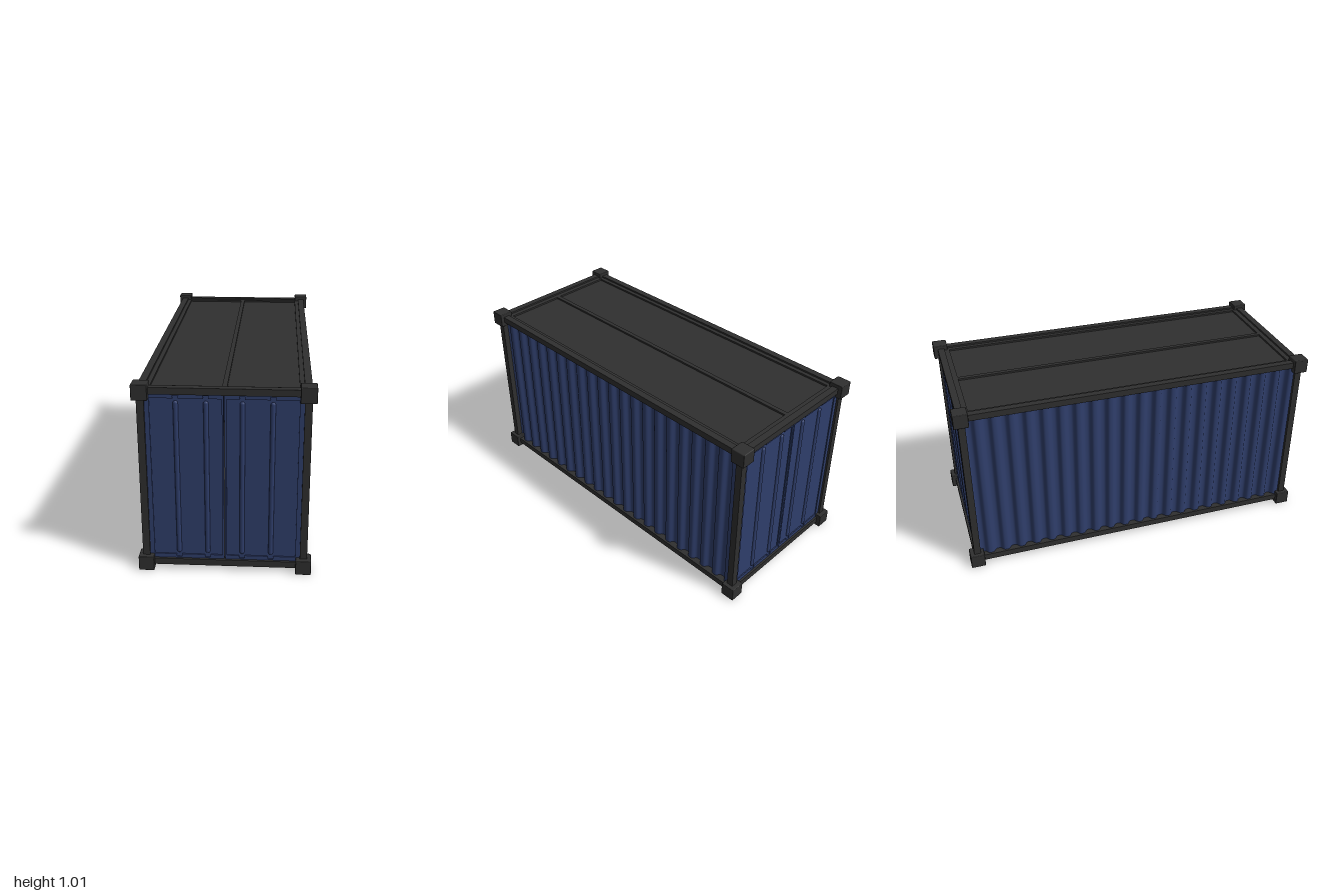
import * as THREE from 'three';
import { RoundedBoxGeometry } from 'three/addons/geometries/RoundedBoxGeometry.js';

export function createModel() {
  const model = new THREE.Group();
  model.name = 'shippingContainer';
  const steel = new THREE.MeshStandardMaterial({ color: 0x2f2f2f });
  steel.name = 'charcoalSteel';
  const blue = new THREE.MeshStandardMaterial({ color: 0x2f3e6b, side: THREE.DoubleSide });
  blue.name = 'navyPanel';

  const add = (parent, name, geometry, material, x = 0, y = 0, z = 0) => {
    const mesh = new THREE.Mesh(geometry, material);
    mesh.name = name;
    mesh.position.set(x, y, z);
    parent.add(mesh);
    return mesh;
  };
  // Box given by its lower and upper limits on each axis
  const block = (parent, name, material, x0, x1, y0, y1, z0, z1) =>
    add(parent, name, new THREE.BoxGeometry(x1 - x0, y1 - y0, z1 - z0), material,
      (x0 + x1) / 2, (y0 + y1) / 2, (z0 + z1) / 2);

  // Corner castings, posts and rails
  for (const sx of [-1, 1]) {
    for (const sz of [-1, 1]) {
      for (const y of [0.04, 0.975]) {
        add(model, 'cornerCasting', new RoundedBoxGeometry(0.08, 0.08, 0.08, 1, 0.004), steel,
          sx * 0.403, y, sz * 0.96);
      }
      add(model, 'cornerPost', new THREE.BoxGeometry(0.037, 0.93, 0.037), steel,
        sx * 0.4035, 0.51, sz * 0.9575);
    }
    for (const y of [0.0425, 0.978]) {
      add(model, 'sideRail', new THREE.BoxGeometry(0.037, 0.035, 1.9), steel, sx * 0.4035, y, 0);
    }
  }
  for (const sz of [-1, 1]) {
    for (const y of [0.0425, 0.978]) {
      add(model, 'endRail', new THREE.BoxGeometry(0.78, 0.035, 0.037), steel, 0, y, sz * 0.9575);
    }
  }

  // Roof and floor: recessed plate, raised border and centre seam
  const deck = (name, plate0, plate1, lip0, lip1) => {
    const group = new THREE.Group();
    group.name = name;
    model.add(group);
    block(group, name + 'Plate', steel, -0.386, 0.386, plate0, plate1, -0.94, 0.94);
    block(group, name + 'Seam', steel, -0.012, 0.012, lip0, lip1, -0.912, 0.912);
    for (const s of [-1, 1]) {
      add(group, name + 'SideLip', new THREE.BoxGeometry(0.025, lip1 - lip0, 1.88), steel,
        s * 0.374, (lip0 + lip1) / 2, 0);
      add(group, name + 'EndLip', new THREE.BoxGeometry(0.724, lip1 - lip0, 0.03), steel,
        0, (lip0 + lip1) / 2, s * 0.926);
    }
  };
  deck('roof', 0.966, 0.976, 0.976, 0.986);
  deck('floor', 0.044, 0.054, 0.034, 0.044);

  // Corrugated side walls with flattened, softly rounded ridges
  const waves = 21, length = 1.89;
  for (const side of [0, 1]) {
    const geometry = new THREE.PlaneGeometry(length, 0.92, waves * 16, 1);
    const p = geometry.attributes.position;
    for (let i = 0; i < p.count; i++) {
      const wave = Math.sin((p.getX(i) / length) * waves * Math.PI * 2);
      p.setZ(i, 0.014 * Math.tanh(1.6 * wave));
    }
    geometry.computeVertexNormals();
    const wall = new THREE.Group();
    wall.name = side ? 'rightWall' : 'leftWall';
    wall.rotation.y = side ? -Math.PI / 2 : Math.PI / 2;
    add(wall, 'corrugatedPanel', geometry, blue, 0, 0.51, 0.398);
    model.add(wall);
  }

  // Door leaf border, notched where the upright ribs meet it
  const bars = [0.088, 0.235];
  const borderShape = new THREE.Shape([
    [0.002, 0.058], [0.386, 0.058], [0.386, 0.961], [0.002, 0.961],
  ].map(([x, y]) => new THREE.Vector2(x, y)));
  const inner = [[0.011, 0.082]];
  for (const b of bars) {
    inner.push([b - 0.015, 0.082], [b - 0.012, 0.066], [b + 0.012, 0.066], [b + 0.015, 0.082]);
  }
  inner.push([0.362, 0.082], [0.362, 0.938]);
  for (const b of [...bars].reverse()) {
    inner.push([b + 0.012, 0.938], [b + 0.015, 0.953], [b - 0.015, 0.953], [b - 0.012, 0.938]);
  }
  inner.push([0.011, 0.938]);
  borderShape.holes.push(new THREE.Path(inner.map(([x, y]) => new THREE.Vector2(x, y))));
  const border = new THREE.ExtrudeGeometry(borderShape, { depth: 0.016, bevelEnabled: false });

  // Two leaves on each end with a narrow open gap between them
  for (const end of [0, 1]) {
    const doors = new THREE.Group();
    doors.name = end ? 'backDoors' : 'frontDoors';
    doors.rotation.y = end * Math.PI;
    model.add(doors);
    for (const s of [-1, 1]) {
      const frame = add(doors, 'doorBorder', border, blue, 0, 0, 0.948);
      frame.scale.x = s;
      add(doors, 'doorPanel', new THREE.BoxGeometry(0.382, 0.9, 0.008), blue,
        s * 0.194, 0.51, 0.954);
      for (const b of bars) {
        const rib = add(doors, 'doorRib', new THREE.CapsuleGeometry(0.0125, 0.81, 4, 14), blue,
          s * b, 0.508, 0.958);
        rib.scale.z = 0.8;
      }
    }
  }
  return model;
}
